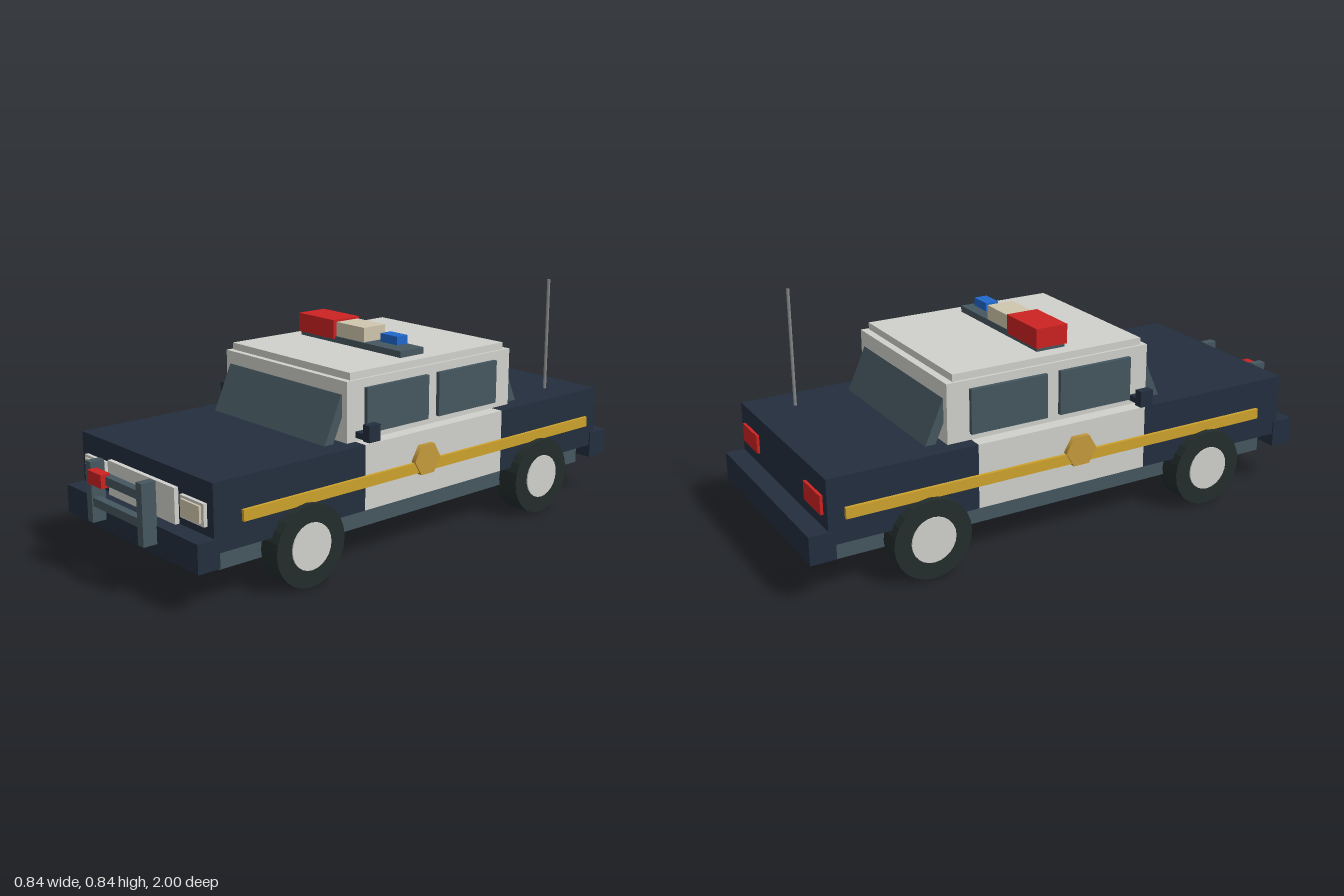
import * as THREE from 'three';

const mat = (name, color) => {
  const m = new THREE.MeshStandardMaterial({ color });
  m.name = name;
  return m;
};

export function createModel() {
  const car = new THREE.Group();
  car.name = 'patrolCar';

  const navy = mat('navy', 0x232e3e);
  const white = mat('offWhite', 0xd0d0cb);
  const slate = mat('slate', 0x45575f);
  const cream = mat('cream', 0xcfc6ac);
  const red = mat('red', 0xcc2222);
  const blue = mat('blue', 0x2068cc);
  const gold = mat('gold', 0xcda22c);
  const bronze = mat('badgeGold', 0xc49a3c);
  const grey = mat('grey', 0x888888);
  const rubber = mat('rubber', 0x232d2c);
  rubber.flatShading = true;

  const add = (name, geometry, material) => {
    const m = new THREE.Mesh(geometry, material);
    m.name = name;
    car.add(m);
    return m;
  };
  // Box given by its limits on each axis
  const box = (name, material, x0, x1, y0, y1, z0, z1) => {
    const m = add(name, new THREE.BoxGeometry(x1 - x0, y1 - y0, z1 - z0), material);
    m.position.set((x0 + x1) / 2, (y0 + y1) / 2, (z0 + z1) / 2);
    return m;
  };
  // The same box on the left (+x) and the right (-x)
  const pair = (name, material, x0, x1, ...yz) => {
    box(name + 'Left', material, x0, x1, ...yz);
    box(name + 'Right', material, -x1, -x0, ...yz);
  };

  // Lower body
  box('chassis', slate, -0.335, 0.335, 0.115, 0.2, -0.89, 0.825);
  box('hood', navy, -0.38, 0.38, 0.19, 0.417, 0.26, 0.872);
  box('doors', white, -0.38, 0.38, 0.19, 0.417, -0.4, 0.26);
  box('trunk', navy, -0.38, 0.38, 0.19, 0.417, -0.932, -0.4);
  box('frontBumper', navy, -0.385, 0.385, 0.142, 0.24, 0.855, 0.937);
  box('rearBumper', navy, -0.385, 0.385, 0.142, 0.24, -1, -0.91);

  // Cabin and roof
  box('cabin', white, -0.33, 0.33, 0.41, 0.626, -0.487, 0.297);
  box('roof', white, -0.32, 0.32, 0.626, 0.651, -0.46, 0.275);
  pair('frontSideWindow', slate, 0.325, 0.345, 0.44, 0.596, -0.065, 0.22);
  pair('rearSideWindow', slate, 0.325, 0.345, 0.44, 0.596, -0.405, -0.115);

  // Sloping front and rear glass
  const slope = new THREE.Shape([[0.335, 0.417], [0.372, 0.417], [0.3, 0.579], [0.262, 0.579]]
    .map(([z, y]) => new THREE.Vector2(z, y)));
  const glass = new THREE.ExtrudeGeometry(slope, { depth: 0.61, bevelEnabled: false });
  glass.translate(0, 0, -0.305);
  add('windscreen', glass, slate).rotation.y = -Math.PI / 2;
  const rearGlass = add('rearGlass', glass, slate);
  rearGlass.rotation.y = Math.PI / 2;
  rearGlass.position.z = -0.183;

  // Grille, headlights and tail lights
  box('grille', white, -0.195, 0.195, 0.235, 0.36, 0.86, 0.888);
  pair('headlightFrame', white, 0.22, 0.347, 0.271, 0.346, 0.86, 0.885);
  pair('headlight', cream, 0.234, 0.334, 0.281, 0.337, 0.87, 0.893);
  pair('tailLight', red, 0.212, 0.348, 0.286, 0.352, -0.942, -0.92);

  // Push bar with one lamp
  pair('pushBarUpright', slate, 0.135, 0.166, 0.18, 0.386, 0.935, 0.987);
  box('pushBarTop', slate, -0.14, 0.14, 0.328, 0.357, 0.955, 0.983);
  box('pushBarLower', slate, -0.14, 0.14, 0.237, 0.266, 0.955, 0.983);
  box('pushBarLamp', red, -0.134, -0.051, 0.319, 0.365, 0.965, 1);

  // Wing mirrors
  pair('mirrorArm', navy, 0.325, 0.385, 0.431, 0.452, 0.23, 0.26);
  pair('mirror', navy, 0.378, 0.41, 0.431, 0.488, 0.22, 0.27);

  // Side stripe and hexagonal badge
  pair('sideStripe', gold, 0.375, 0.392, 0.274, 0.312, -0.875, 0.767);
  const hexagon = new THREE.CylinderGeometry(0.06, 0.06, 0.03, 6);
  hexagon.rotateZ(Math.PI / 2);
  for (const s of [1, -1]) {
    add(s > 0 ? 'badgeLeft' : 'badgeRight', hexagon.toNonIndexed(), bronze)
      .position.set(s * 0.383, 0.318, -0.012);
  }
  hexagon.dispose();

  // Wheels
  const tyre = new THREE.CylinderGeometry(0.14, 0.14, 0.1, 24).rotateZ(Math.PI / 2);
  const hub = new THREE.CylinderGeometry(0.08, 0.08, 0.107, 24).rotateZ(Math.PI / 2);
  for (const s of [1, -1]) {
    for (const z of [0.522, -0.588]) {
      const label = (z > 0 ? 'front' : 'rear') + (s > 0 ? 'Left' : 'Right');
      add(label + 'Tyre', tyre, rubber).position.set(s * 0.366, 0.14, z);
      add(label + 'Hub', hub, white).position.set(s * 0.367, 0.14, z);
    }
  }

  // Roof light bar
  box('lightBarBase', slate, -0.267, 0.267, 0.65, 0.674, -0.112, -0.002);
  box('redLight', red, -0.275, -0.078, 0.664, 0.733, -0.118, 0.003);
  box('creamLight', cream, -0.075, 0.073, 0.674, 0.726, -0.11, -0.008);
  box('blueLight', blue, 0.131, 0.217, 0.683, 0.713, -0.083, -0.033);

  // Antenna
  add('antenna', new THREE.CylinderGeometry(0.006, 0.006, 0.427, 8), grey)
    .position.set(0.258, 0.625, -0.778);

  return car;
}
